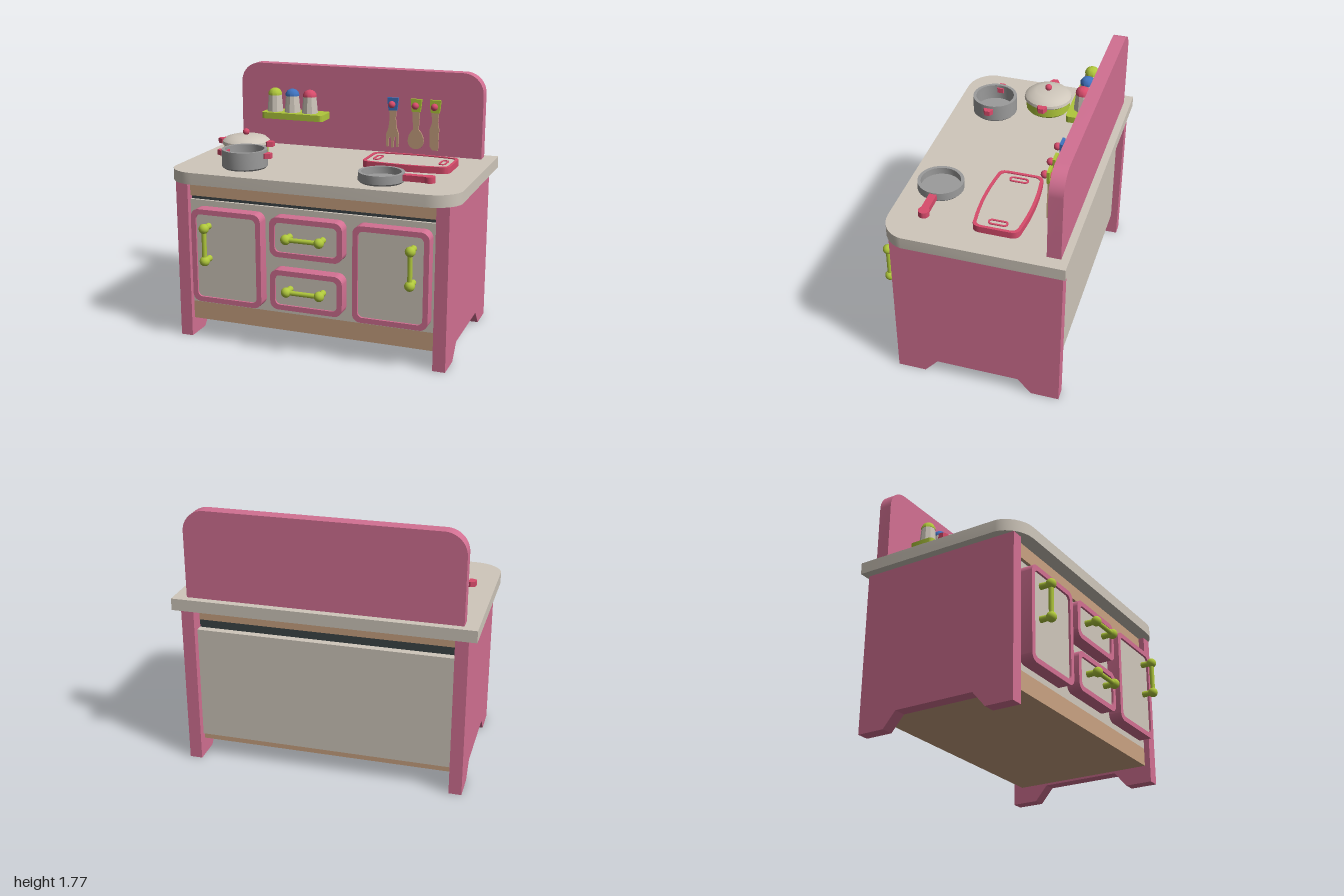
import * as THREE from 'three';
import { toCreasedNormals } from 'three/addons/utils/BufferGeometryUtils.js';

const mat = (name, color, side = THREE.FrontSide) =>
  Object.assign(new THREE.MeshStandardMaterial({ color, side }), { name });

const pink = mat('pink paint', 0xd27092);
const cream = mat('cream paint', 0xcfc7bb);
const wood = mat('wood', 0xc9a281);
const dark = mat('dark gap', 0x3c4446);
const lime = mat('lime', 0xb0c83c);
const red = mat('raspberry red', 0xd84c6c);
const blue = mat('blue', 0x3f73c0);
const steel = mat('steel grey', 0x9b9b9b);

function add(parent, name, geo, material, x = 0, y = 0, z = 0) {
  const m = new THREE.Mesh(geo, material);
  m.name = name;
  m.position.set(x, y, z);
  parent.add(m);
  return m;
}

function group(parent, name, x = 0, y = 0, z = 0) {
  const g = new THREE.Group();
  g.name = name;
  g.position.set(x, y, z);
  parent.add(g);
  return g;
}

// Box given by its limits
function box(parent, name, material, x0, x1, y0, y1, z0, z1) {
  return add(parent, name, new THREE.BoxGeometry(x1 - x0, y1 - y0, z1 - z0), material,
    (x0 + x1) / 2, (y0 + y1) / 2, (z0 + z1) / 2);
}

// Centred rounded rectangle
function roundRect(w, h, r, C = THREE.Shape) {
  const s = new C(), a = w / 2, b = h / 2, P = Math.PI;
  s.moveTo(a, -b + r);
  s.absarc(a - r, b - r, r, 0, P / 2);
  s.absarc(-a + r, b - r, r, P / 2, P);
  s.absarc(-a + r, -b + r, r, P, P * 1.5);
  s.absarc(a - r, -b + r, r, P * 1.5, P * 2);
  return s;
}

const poly = (pts) => new THREE.Shape(pts.map(([x, y]) => new THREE.Vector2(x, y)));
const extrude = (shape, depth) => toCreasedNormals(
  new THREE.ExtrudeGeometry(shape, { depth, bevelEnabled: false, curveSegments: 8 }), 0.6);
// Horizontal plate: shape y becomes -z, depth goes up
const slab = (shape, depth) => extrude(shape, depth).rotateX(-Math.PI / 2);
const lathe = (pts, n = 28) => toCreasedNormals(
  new THREE.LatheGeometry(pts.map(([r, y]) => new THREE.Vector2(r, y)), n), 0.6);
const ball = (r) => new THREE.SphereGeometry(r, 16, 12);

// Bar with a ball on a short post at each end
function handle(parent, x, y, length, vertical) {
  const g = group(parent, 'handle', x, y, 0.61);
  if (vertical) g.rotation.z = Math.PI / 2;
  add(g, 'handleBar', new THREE.CylinderGeometry(0.016, 0.016, length, 12).rotateZ(Math.PI / 2), lime);
  for (const s of [-1, 1]) {
    add(g, 'handleKnob', ball(0.034), lime, s * length / 2);
    add(g, 'handlePost', new THREE.CylinderGeometry(0.018, 0.022, 0.08, 12).rotateX(Math.PI / 2),
      lime, s * length / 2, 0, -0.035);
  }
}

// Framed front with an inset panel
function frontPanel(parent, name, x0, x1, y0, y1) {
  const w = x1 - x0, h = y1 - y0;
  const g = group(parent, name, (x0 + x1) / 2, (y0 + y1) / 2, 0.455);
  const frame = roundRect(w, h, 0.055);
  frame.holes.push(roundRect(w - 0.07, h - 0.07, 0.035, THREE.Path));
  add(g, 'frame', extrude(frame, 0.095), pink);
  add(g, 'inset', extrude(roundRect(w - 0.068, h - 0.068, 0.035), 0.08), cream);
}

// Pair of tapered side grips for a pot
function ears(parent, r, y) {
  for (const s of [-1, 1]) {
    const ear = add(parent, 'potEar', slab(poly([[-0.02, -0.022], [0.02, -0.035], [0.055, -0.018],
      [0.055, 0.018], [0.02, 0.035], [-0.02, 0.022]]), 0.035), red, s * r, y, 0);
    if (s < 0) ear.rotation.y = Math.PI;
  }
}

const openVessel = (r, h) => lathe([[0, 0], [r - 0.012, 0], [r, 0.012], [r, h],
  [r - 0.022, h], [r - 0.022, 0.02], [0, 0.02]]);

export function createModel() {
  const root = new THREE.Group();
  root.name = 'toyKitchen';

  // Side panels with a cut-out between the feet
  const side = poly([[-0.5, 0], [-0.31, 0], [-0.22, 0.105], [0.34, 0.105], [0.43, 0],
    [0.62, 0], [0.62, 1.1], [-0.5, 1.1]]);
  for (const x of [-0.945, 0.86])
    add(root, 'sidePanel', extrude(side, 0.085).rotateY(Math.PI / 2), pink, x);

  // Cabinet body
  box(root, 'basePlinth', wood, -0.86, 0.86, 0.12, 0.245, -0.55, 0.46);
  box(root, 'cabinetCore', dark, -0.86, 0.86, 0.245, 1.0, -0.52, 0.44);
  box(root, 'topRail', wood, -0.86, 0.86, 1.0, 1.1, -0.525, 0.46);
  box(root, 'frontBoard', cream, -0.86, 0.86, 0.245, 0.975, 0.44, 0.46);
  box(root, 'backBoard', cream, -0.86, 0.86, 0.165, 0.945, -0.57, -0.52);

  // Worktop with rounded front corners
  const top = new THREE.Shape();
  top.moveTo(-1, 0.645);
  top.lineTo(-1, -0.4);
  top.bezierCurveTo(-0.99, -0.48, -0.91, -0.555, -0.8, -0.555);
  top.lineTo(0.8, -0.555);
  top.bezierCurveTo(0.91, -0.555, 0.99, -0.48, 1, -0.4);
  top.lineTo(1, 0.645);
  add(root, 'worktop', slab(top, 0.08), cream, 0, 1.1, 0);

  // Splashback with rounded top corners
  const back = new THREE.Shape();
  back.moveTo(-0.91, 1.18);
  back.lineTo(0.91, 1.18);
  back.absarc(0.765, 1.63, 0.145, 0, Math.PI / 2);
  back.absarc(-0.765, 1.63, 0.145, Math.PI / 2, Math.PI);
  add(root, 'splashback', extrude(back, 0.09), pink, 0, 0, -0.595);

  // Doors and drawers
  frontPanel(root, 'rightDoor', -0.815, -0.31, 0.285, 0.935);
  frontPanel(root, 'leftDoor', 0.33, 0.835, 0.285, 0.935);
  frontPanel(root, 'upperDrawer', -0.245, 0.26, 0.665, 0.935);
  frontPanel(root, 'lowerDrawer', -0.245, 0.26, 0.3, 0.575);
  for (const x of [-0.69, 0.73]) handle(root, x, 0.71, 0.225, true);
  for (const y of [0.81, 0.45]) handle(root, 0.01, y, 0.23, false);

  // Shelf with three shakers
  add(root, 'spiceShelf', slab(roundRect(0.47, 0.18, 0.025), 0.045), lime, -0.445, 1.4, -0.415);
  [lime, blue, red].forEach((cap, i) => {
    const g = group(root, 'shaker', -0.605 + i * 0.135, 1.445, -0.412);
    add(g, 'shakerBody', lathe([[0, 0], [0.058, 0], [0.047, 0.12], [0, 0.12]], 10), cream);
    add(g, 'shakerCap', lathe([[0, 0.118], [0.05, 0.118], [0.049, 0.135], [0.037, 0.155],
      [0.02, 0.165], [0, 0.168]], 10), cap);
  });

  // Hanging utensils: outlines run down from the grip, y = 0 at the peg
  const fork = poly([[-0.027, -0.04], [-0.022, -0.1], [-0.03, -0.17], [-0.046, -0.215], [-0.044, -0.305],
    [-0.028, -0.305], [-0.026, -0.235], [-0.012, -0.235], [-0.009, -0.31], [0.009, -0.31],
    [0.012, -0.235], [0.026, -0.235], [0.028, -0.305], [0.044, -0.305], [0.046, -0.215],
    [0.03, -0.17], [0.022, -0.1], [0.027, -0.04]]);
  const spoon = new THREE.Shape();
  spoon.moveTo(-0.027, -0.04);
  spoon.lineTo(-0.02, -0.17);
  spoon.bezierCurveTo(-0.075, -0.22, -0.07, -0.31, 0, -0.31);
  spoon.bezierCurveTo(0.07, -0.31, 0.075, -0.22, 0.02, -0.17);
  spoon.lineTo(0.027, -0.04);
  const knife = poly([[-0.027, -0.04], [-0.02, -0.11], [-0.036, -0.16], [-0.036, -0.28], [-0.015, -0.31],
    [0.025, -0.31], [0.03, -0.16], [0.02, -0.11], [0.027, -0.04]]);
  const grip = poly([[-0.04, 0.045], [-0.036, 0], [-0.03, -0.045], [0.03, -0.045], [0.036, 0], [0.04, 0.045]]);
  [['fork', 0.285, fork, blue], ['spoon', 0.455, spoon, lime], ['knife', 0.592, knife, lime]]
    .forEach(([name, x, shape, color]) => {
      const g = group(root, name, x, 1.545, -0.43);
      add(g, name + 'Blade', extrude(shape, 0.012), wood, 0, 0, -0.006);
      add(g, name + 'Grip', extrude(grip, 0.02), color, 0, 0, -0.01);
      add(g, 'peg', new THREE.CylinderGeometry(0.02, 0.02, 0.11, 12).rotateX(Math.PI / 2), red, 0, 0, -0.02);
      add(g, 'pegKnob', ball(0.025), red, 0, 0, 0.03);
    });

  // Casserole with a lid
  const casserole = group(root, 'casserole', -0.69, 1.18, -0.085);
  add(casserole, 'casseroleBody', lathe([[0, 0], [0.145, 0], [0.155, 0.012], [0.155, 0.08], [0, 0.08]]), lime);
  add(casserole, 'casseroleLid', lathe([[0, 0.072], [0.155, 0.072], [0.17, 0.085], [0.166, 0.105],
    [0.14, 0.128], [0.09, 0.142], [0, 0.148]]), cream);
  add(casserole, 'lidKnob', ball(0.024), red, 0, 0.165, 0);
  ears(casserole, 0.155, 0.073);

  // Open steel pot
  const pot = group(root, 'pot', -0.54, 1.18, 0.267);
  add(pot, 'potBody', openVessel(0.155, 0.127), steel);
  ears(pot, 0.14, 0.073);

  // Frying pan
  const pan = group(root, 'fryingPan', 0.447, 1.18, 0.327);
  add(pan, 'panBody', openVessel(0.152, 0.067), steel);
  const grasp = new THREE.Shape();
  grasp.moveTo(0.145, -0.025);
  grasp.lineTo(0.29, -0.025);
  grasp.absarc(0.32, 0, 0.036, -2.3, 2.3);
  grasp.lineTo(0.29, 0.025);
  grasp.lineTo(0.145, 0.025);
  add(pan, 'panHandle', slab(grasp, 0.04), red, 0, 0.02, 0);

  // Tray: bulging red rim, pale top and two slotted grips
  const trayOutline = (k) => {
    const a = 0.305 - k, b = 0.155 - k, c = 0.06 - k / 2, s = new THREE.Shape();
    s.moveTo(-a + c, -b);
    s.quadraticCurveTo(0, -b - 0.034, a - c, -b);
    s.quadraticCurveTo(a, -b, a, -b + c);
    s.lineTo(a, b - c);
    s.quadraticCurveTo(a, b, a - c, b);
    s.quadraticCurveTo(0, b + 0.034, -a + c, b);
    s.quadraticCurveTo(-a, b, -a, b - c);
    s.lineTo(-a, -b + c);
    s.quadraticCurveTo(-a, -b, -a + c, -b);
    return s;
  };
  const tray = group(root, 'tray', 0.503, 1.18, -0.148);
  const rim = trayOutline(0);
  rim.holes.push(trayOutline(0.02));
  add(tray, 'trayRim', slab(rim, 0.045), red);
  add(tray, 'trayTop', slab(trayOutline(0.019), 0.038), cream);
  for (const s of [-1, 1]) {
    const ring = roundRect(0.052, 0.13, 0.025);
    ring.holes.push(roundRect(0.028, 0.106, 0.0135, THREE.Path));
    add(tray, 'trayGrip', slab(ring, 0.008), red, s * 0.23, 0.036, 0);
  }
  return root;
}
